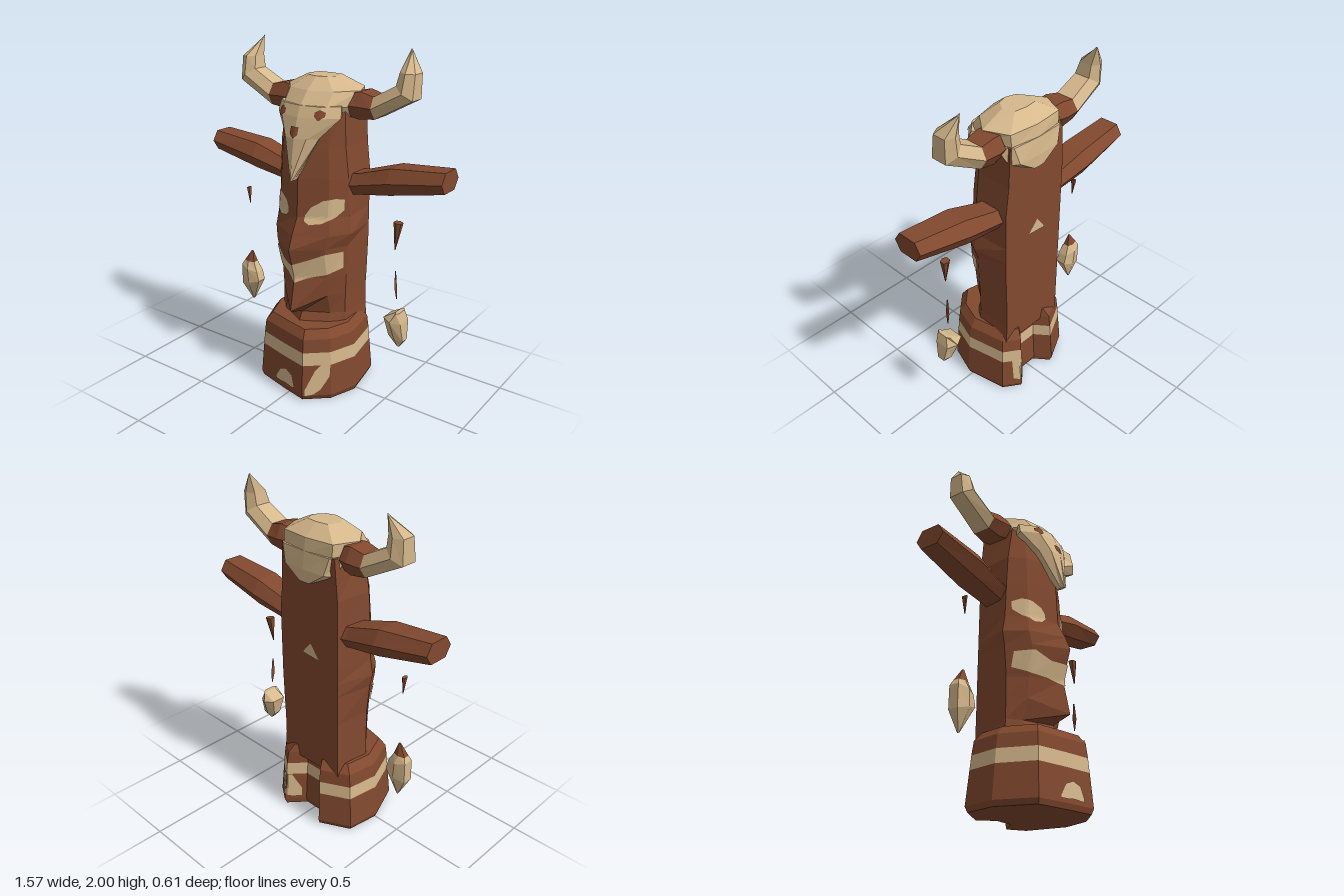
import * as THREE from 'three';

const wood = new THREE.MeshStandardMaterial({ color: 0x82492f });
wood.name = 'carved wood';
const bone = new THREE.MeshStandardMaterial({ color: 0xd6b88c });
bone.name = 'bone paint';
const V = (x, y, z) => new THREE.Vector3(x, y, z);

// Faceted skin over a list of rings, capped at both ends; painted[] lists the bone-coloured bands
function loft(name, rings, base = wood, painted = []) {
  const other = base === wood ? bone : wood;
  const tris = [], tags = [];
  const add = (tag, a, b, c) => { tris.push([a, b, c]); tags.push(tag); };
  const n = rings[0].length, last = rings.length - 1;
  const mid = r => r.reduce((s, p) => s.add(p), V(0, 0, 0)).divideScalar(n);
  const c0 = mid(rings[0]), c1 = mid(rings[last]);
  for (let j = 0; j < n; j++) {
    const k = (j + 1) % n;
    add(0, c0, rings[0][k], rings[0][j]);
    for (let i = 0; i < last; i++) {
      const tag = painted.includes(i) ? 1 : 0;
      add(tag, rings[i][j], rings[i][k], rings[i + 1][k]);
      add(tag, rings[i][j], rings[i + 1][k], rings[i + 1][j]);
    }
    add(0, c1, rings[last][j], rings[last][k]);
  }
  // turn the skin outward whichever way the rings run
  const volume = tris.reduce((s, [a, b, c]) =>
    s + a.clone().sub(c0).dot(b.clone().sub(c0).cross(c.clone().sub(c0))), 0);
  const pos = [], geo = new THREE.BufferGeometry();
  for (const tag of [0, 1]) {
    const start = pos.length / 3;
    tris.forEach((t, i) => {
      if (tags[i] !== tag) return;
      for (const p of volume < 0 ? [t[0], t[2], t[1]] : t) pos.push(p.x, p.y, p.z);
    });
    if (pos.length / 3 > start) geo.addGroup(start, pos.length / 3 - start, tag);
  }
  geo.setAttribute('position', new THREE.Float32BufferAttribute(pos, 3));
  geo.computeVertexNormals();
  const mesh = new THREE.Mesh(geo, [base, other]);
  mesh.name = name;
  return mesh;
}

// Six-sided limb: each station is [ax, ay, bx, by, z, halfDepth] between two edge points
function limb(name, stations, base, painted, sx = 1) {
  const rings = stations.map(([ax, ay, bx, by, z, h]) => {
    const mx = (ax + bx) / 2, my = (ay + by) / 2;
    return [[ax, ay, z + h * 0.6], [mx, my, z + h], [bx, by, z + h * 0.6],
      [bx, by, z - h * 0.6], [mx, my, z - h], [ax, ay, z - h * 0.6]]
      .map(([x, y, zz]) => V(x * sx, y, zz));
  });
  return loft(name, rings, base, painted);
}

// Skull section: half width, front and back depth
function skullRing([y, w, zf, zb]) {
  const d = zf - zb;
  return [V(0, y, zf), V(w * 0.6, y, zf - d * 0.12), V(w, y, zf - d * 0.5), V(w * 0.75, y, zb + d * 0.06),
    V(0, y, zb), V(-w * 0.75, y, zb + d * 0.06), V(-w, y, zf - d * 0.5), V(-w * 0.6, y, zf - d * 0.12)];
}

// Thin painted patch draped on a mesh; columns are [x, yLow, yHigh], side 1 = front, -1 = back
function paint(name, targets, columns, mat = bone, side = 1) {
  const ray = new THREE.Raycaster(), rows = 6, sub = 4, grid = [];
  for (let i = 0; i <= (columns.length - 1) * sub; i++) {
    const k = Math.min(Math.floor(i / sub), columns.length - 2), t = i / sub - k;
    const [x, lo, hi] = columns[k].map((v, m) => v + (columns[k + 1][m] - v) * t);
    grid.push(Array.from({ length: rows + 1 }, (_, r) => {
      const y = lo + (hi - lo) * r / rows;
      ray.set(V(x, y, 2 * side), V(0, 0, -side));
      const hit = ray.intersectObjects(targets)[0];
      return hit ? hit.point.clone().addScaledVector(hit.face.normal, 0.006) : null;
    }));
  }
  const pos = [];
  for (let i = 0; i + 1 < grid.length; i++) for (let r = 0; r < rows; r++) {
    const a = grid[i][r], b = grid[i + 1][r], c = grid[i + 1][r + 1], d = grid[i][r + 1];
    if (a && b && c && d) for (const p of [a, b, c, a, c, d]) pos.push(p.x, p.y, p.z);
  }
  const geo = new THREE.BufferGeometry();
  geo.setAttribute('position', new THREE.Float32BufferAttribute(pos, 3));
  geo.computeVertexNormals();
  const mesh = new THREE.Mesh(geo, mat);
  mesh.name = name;
  return mesh;
}

export function createModel() {
  const model = new THREE.Group();
  model.name = 'totem pole';

  // Flared foot with a notch at the back and a painted stripe all round
  const outline = [[-0.05, 0.27], [0.12, 0.305], [0.25, 0.19], [0.31, 0.02], [0.26, -0.23], [0.16, -0.3],
    [0.07, -0.2], [-0.06, -0.2], [-0.13, -0.29], [-0.31, -0.2], [-0.34, 0], [-0.25, 0.22]];
  const foot = loft('foot', [[0, 0.96], [0.03, 1], [0.22, 0.95], [0.3, 0.93], [0.38, 0.9], [0.43, 0.78]]
    .map(([y, s]) => outline.map(([x, z]) => V(x * s, y, z * s))), wood, [2]);

  // Ridged trunk: [y, left width, right width, cheek z, ridge z, ridge drop]
  const trunk = loft('trunk', [
    [0.36, 0.25, 0.22, 0.1, 0.2, 0], [0.48, 0.24, 0.21, 0.06, 0.14, 0],
    [0.6, 0.24, 0.21, 0.09, 0.25, -0.08], [0.72, 0.24, 0.215, 0.1, 0.21, 0],
    [0.9, 0.26, 0.22, 0.13, 0.26, 0], [0.98, 0.28, 0.25, 0.12, 0.23, 0],
    [1.08, 0.26, 0.23, 0.1, 0.18, 0], [1.3, 0.25, 0.22, 0.09, 0.17, 0],
    [1.47, 0.24, 0.2, 0.08, 0.15, 0], [1.7, 0.2, 0.19, 0.04, 0.08, 0],
  ].map(([y, l, r, zf, zr, drop]) => [V(0, y + drop, zr), V(r * 0.7, y, zf), V(r, y, 0),
    V(Math.min(r, 0.22), y, -0.22), V(-Math.min(l, 0.22), y, -0.22), V(-l, y, 0), V(-l * 0.7, y, zf)]));
  model.add(foot, trunk);

  // Skull: cranium, snout and hanging nape
  const cranium = loft('cranium', [[1.63, 0.2, 0.12, -0.23], [1.69, 0.235, 0.15, -0.24],
    [1.77, 0.24, 0.08, -0.23], [1.835, 0.1, 0.0, -0.15]].map(skullRing), bone);
  const snout = loft('snout', [[1.3, 0.008, 0.24, 0.18], [1.53, 0.115, 0.205, 0.06],
    [1.64, 0.21, 0.17, -0.04], [1.7, 0.2, 0.145, -0.05]].map(skullRing), bone);
  const nape = loft('nape', [[1.53, 0.05, -0.2, -0.25], [1.6, 0.19, -0.17, -0.25],
    [1.7, 0.23, -0.08, -0.24]].map(skullRing), bone);
  model.add(cranium, snout, nape);
  const head = [cranium, snout];
  model.add(paint('nostril', head, [[-0.03, 1.55, 1.59], [0.0, 1.53, 1.59], [0.02, 1.55, 1.59]], wood));
  for (const s of [-1, 1]) {
    const x = 0.12 * s;
    model.add(paint('skullEye', head, [[x - 0.025, 1.65, 1.67], [x, 1.63, 1.685], [x + 0.025, 1.65, 1.67]], wood));
  }

  // Horns with wooden bindings, and the plank arms
  const horn = [[0.2, 1.76, 0.2, 1.63, -0.1, 0.1], [0.25, 1.77, 0.25, 1.62, -0.11, 0.1],
    [0.33, 1.75, 0.34, 1.63, -0.11, 0.09], [0.46, 1.82, 0.56, 1.75, -0.11, 0.08],
    [0.47, 1.89, 0.56, 1.885, -0.12, 0.065], [0.48, 2, 0.485, 1.99, -0.18, 0.004]];
  const arm = [[0.18, 1.31, 0.18, 1.19, -0.1, 0.1], [0.25, 1.32, 0.25, 1.2, -0.1, 0.1],
    [0.46, 1.385, 0.46, 1.235, -0.105, 0.115], [0.78, 1.415, 0.78, 1.3, -0.1, 0.095]];
  for (const [side, s] of [['left', 1], ['right', -1]]) {
    model.add(limb(side + 'Horn', horn, bone, [0, 1], s > 0 ? 1 : -1.05));
    model.add(limb(side + 'Arm', arm, wood, [], s * (s > 0 ? 1 : 1.01)));
  }

  // Painted eyes and mouth on the trunk
  model.add(paint('leftEye', [trunk], [[0.04, 1.06, 1.09], [0.07, 1.04, 1.14], [0.13, 1.05, 1.18],
    [0.18, 1.08, 1.19], [0.21, 1.12, 1.18]]));
  model.add(paint('rightEye', [trunk], [[-0.08, 1.08, 1.11], [-0.1, 1.06, 1.15], [-0.15, 1.05, 1.18],
    [-0.2, 1.08, 1.19], [-0.235, 1.12, 1.17]].reverse()));
  model.add(paint('mouth', [trunk], [[-0.23, 0.77, 0.86], [-0.16, 0.74, 0.87], [-0.08, 0.725, 0.82],
    [0, 0.69, 0.81], [0.08, 0.725, 0.84], [0.15, 0.74, 0.87], [0.205, 0.77, 0.87]]));

  // Painted marks on the foot and the back
  model.add(paint('toeMark', [foot], [[-0.11, 0.05, 0.065], [-0.07, 0.05, 0.13], [-0.02, 0.055, 0.15],
    [0.03, 0.05, 0.13], [0.05, 0.05, 0.07]]));
  model.add(paint('footStroke', [foot], [[0.13, 0.03, 0.07], [0.17, 0.04, 0.19], [0.2, 0.07, 0.23],
    [0.235, 0.15, 0.23]]));
  model.add(paint('heelMark', [foot], [[0.2, 0.08, 0.23], [0.13, 0.06, 0.22], [0.09, 0.06, 0.12]], bone, -1));
  model.add(paint('backChip', [trunk], [[0.04, 1.09, 1.1], [-0.02, 1.085, 1.17], [-0.08, 1.08, 1.09]], bone, -1));

  // Hanging charms and slivers of cord
  model.add(limb('rightCharm', [[-0.54, 0.67, -0.53, 0.67, -0.05, 0.004], [-0.585, 0.6, -0.51, 0.6, -0.05, 0.03],
    [-0.6, 0.57, -0.48, 0.54, -0.05, 0.05], [-0.6, 0.44, -0.465, 0.48, -0.05, 0.05],
    [-0.545, 0.33, -0.535, 0.335, -0.06, 0.005]], bone, [0]));
  model.add(limb('leftCharm', [[0.535, 0.565, 0.56, 0.565, -0.05, 0.05], [0.465, 0.52, 0.575, 0.5, -0.055, 0.075],
    [0.49, 0.41, 0.585, 0.39, -0.05, 0.04], [0.545, 0.35, 0.56, 0.35, -0.04, 0.01]], bone));
  model.add(limb('leftCord', [[0.49, 1.09, 0.535, 1.085, -0.055, 0.025], [0.503, 0.93, 0.507, 0.93, -0.04, 0.003]], wood));
  model.add(limb('leftCordEnd', [[0.507, 0.8, 0.51, 0.8, -0.05, 0.005], [0.51, 0.7, 0.517, 0.7, -0.05, 0.014],
    [0.518, 0.63, 0.521, 0.63, -0.055, 0.003]], wood));
  model.add(limb('rightCord', [[-0.555, 1.09, -0.538, 1.095, -0.05, 0.02], [-0.541, 0.99, -0.538, 0.99, -0.05, 0.003]], wood));
  return model;
}
